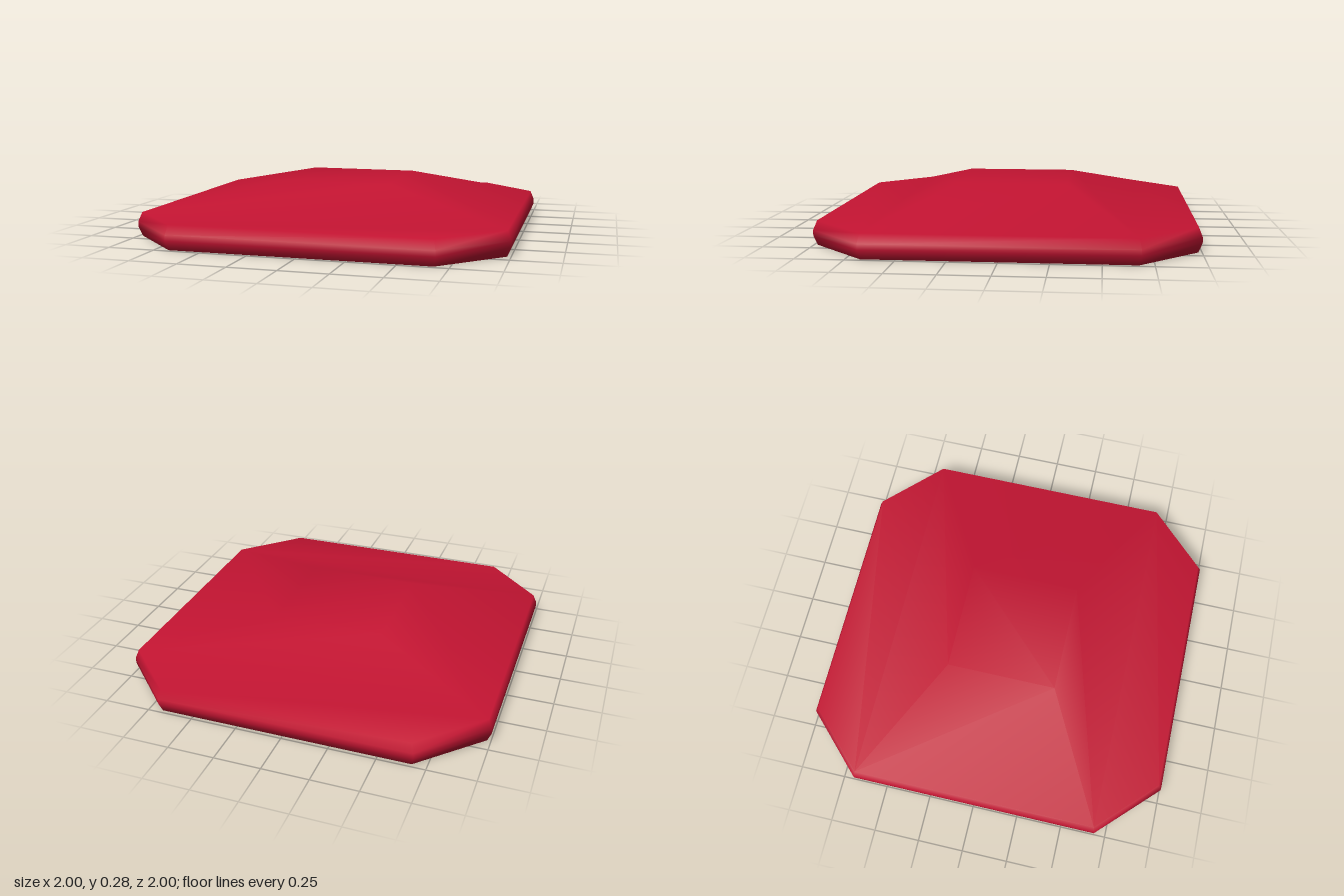
import * as THREE from 'three';
import { mergeVertices } from 'three/addons/utils/BufferGeometryUtils.js';

// Eight-point loop: a rectangle of half sizes hx, hz with corners cut by c, at height y
function loop(hx, hz, c, y) {
  const a = hx - c, b = hz - c;
  return [[hx, -b], [a, -hz], [-a, -hz], [-hx, -b], [-hx, b], [-a, hz], [a, hz], [hx, b]]
    .map(([x, z]) => [x, y, z]);
}

// Skins the loops in order; optional caps close the first or last loop
function skin(loops, { capStart = false, capEnd = false } = {}) {
  const index = [];
  for (let r = 0; r < loops.length - 1; r++) {
    for (let i = 0; i < 8; i++) {
      const a = r * 8 + i, b = r * 8 + (i + 1) % 8;
      index.push(a, b, b + 8, a, b + 8, a + 8);
    }
  }
  const last = (loops.length - 1) * 8;
  for (let i = 1; i < 7; i++) {
    if (capStart) index.push(0, i + 1, i);
    if (capEnd) index.push(last, last + i, last + i + 1);
  }
  const geometry = new THREE.BufferGeometry();
  geometry.setAttribute('position', new THREE.Float32BufferAttribute(loops.flat(2), 3));
  geometry.setIndex(index);
  // Weld the doubled corners, then drop the triangles that collapsed
  const welded = mergeVertices(geometry);
  const id = welded.index.array, kept = [];
  for (let i = 0; i < id.length; i += 3) {
    const [a, b, c] = [id[i], id[i + 1], id[i + 2]];
    if (a !== b && b !== c && c !== a) kept.push(a, b, c);
  }
  welded.setIndex(kept);
  welded.computeVertexNormals();
  return welded;
}

export function createModel() {
  const group = new THREE.Group();
  const red = new THREE.MeshStandardMaterial({ color: 0xc41432 });
  const grey = new THREE.MeshStandardMaterial({ color: 0xcccccc });

  // Shell: underside, bulging rim, flat front and back ledges, raised crown
  const shell = new THREE.Mesh(skin([
    loop(0.22, 0.22, 0, 0),
    loop(0.98, 0.98, 0.305, 0),
    loop(1, 1, 0.315, 0.05),
    loop(1, 1, 0.315, 0.08),
    loop(0.98, 0.98, 0.305, 0.13),
    loop(0.98, 0.675, 0, 0.13),
    loop(0.305, 0.305, 0, 0.28),
  ], { capEnd: true }), red);
  shell.name = 'shell';
  group.add(shell);

  // Shallow square socket in the underside
  const socketGeometry = skin([
    loop(0.165, 0.165, 0, 0.025),
    loop(0.22, 0.22, 0, 0),
  ], { capStart: true }).toNonIndexed();
  socketGeometry.computeVertexNormals();
  const socket = new THREE.Mesh(socketGeometry, grey);
  socket.name = 'undersideSocket';
  group.add(socket);

  return group;
}
